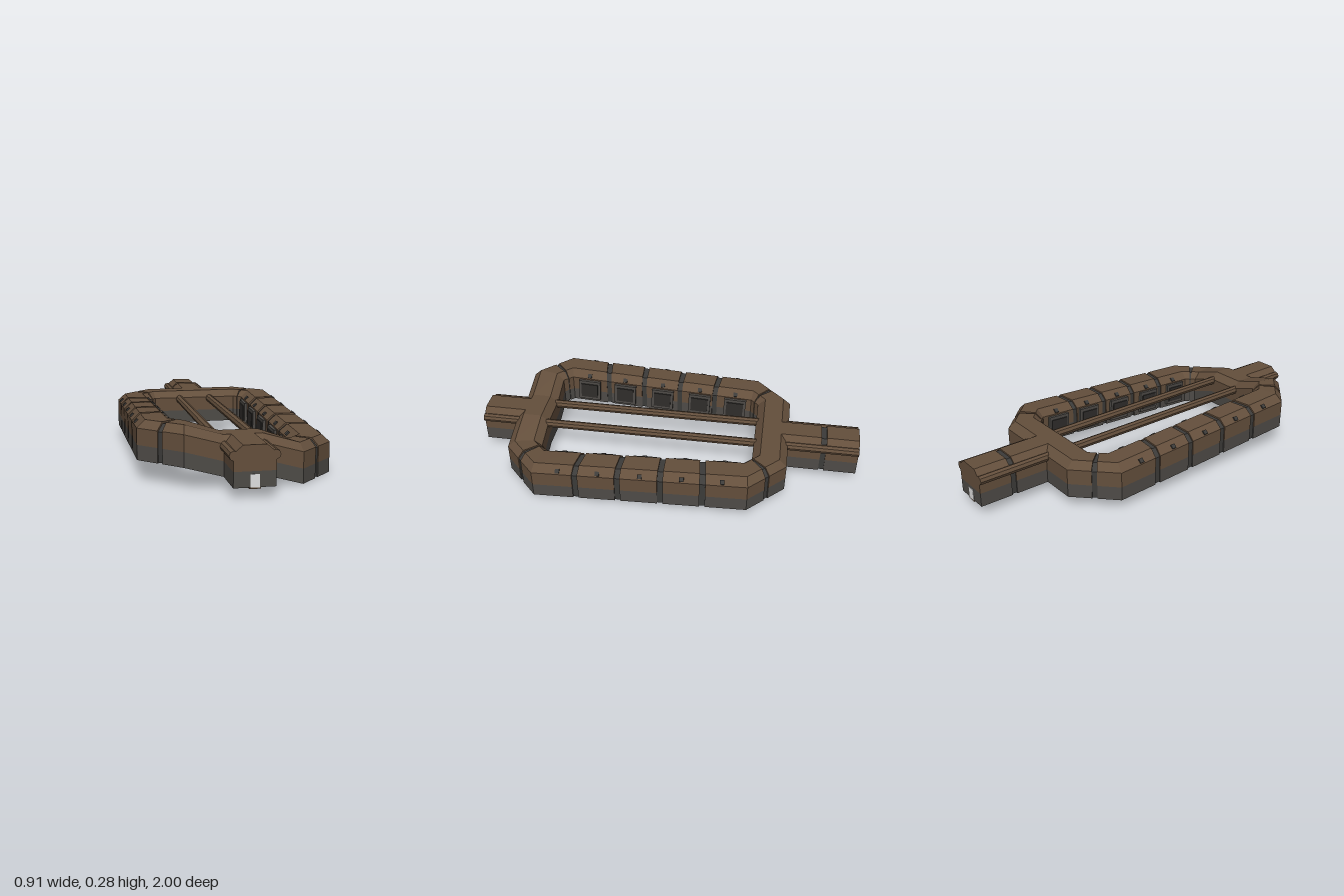
import * as THREE from 'three';
import { ConvexGeometry } from 'three/addons/geometries/ConvexGeometry.js';

const mat = (name, color) => {
  const m = new THREE.MeshStandardMaterial({ color, flatShading: true });
  m.name = name;
  return m;
};

export function createModel() {
  const root = new THREE.Group();
  root.name = 'loopCorridor';
  const brown = mat('brown', 0x644f3c);
  const grey = mat('grey', 0x4e4b47);
  const dark = mat('darkGrey', 0x3c3b39);
  const glass = mat('panelDark', 0x2f2d2b);
  const white = mat('paleGrey', 0xe0e0e0);

  const add = (name, geo, material, x = 0, y = 0, z = 0, rx = 0, rz = 0) => {
    const m = new THREE.Mesh(geo, material);
    m.name = name;
    m.position.set(x, y, z);
    m.rotation.set(rx, 0, rz);
    root.add(m);
    return m;
  };

  // Cross-section parts: [fraction from outer to inner wall, height]
  const LOWER = [[0, 0], [0, 0.07], [1, 0.07], [1, 0]];
  const UPPER = [[0, 0.07], [0, 0.147], [0.22, 0.183], [0.78, 0.183], [1, 0.147], [1, 0.07]];
  const JOINT = [[0.03, 0.003], [0.03, 0.142], [0.235, 0.175], [0.765, 0.175], [0.97, 0.142], [0.97, 0.003]];

  // A station is a slice of corridor: outer x,z, inner x,z and floor height
  const station = (ox, oz, ix, iz, y) => [ox, oz, ix, iz, y];
  const mix = (a, b, t) => a.map((v, i) => v + (b[i] - v) * t);
  const loft = (name, a, b, section, material) => {
    const pts = [a, b].flatMap((s) => section.map(([t, h]) => new THREE.Vector3(
      s[0] + (s[2] - s[0]) * t, s[4] + h, s[1] + (s[3] - s[1]) * t)));
    add(name, new ConvexGeometry(pts), material);
  };
  const hull = (name, a, b) => {
    loft(name + 'Base', a, b, LOWER, grey);
    loft(name + 'Roof', a, b, UPPER, brown);
  };
  // Corridor run broken by recessed joints centred at the given fractions
  const run = (name, a, b, joints, half) => {
    let from = 0;
    for (const j of joints) {
      hull(name, mix(a, b, from), mix(a, b, j - half));
      loft(name + 'Joint', mix(a, b, j - half - 0.002), mix(a, b, j + half + 0.002), JOINT, dark);
      from = j + half;
    }
    hull(name, mix(a, b, from), b);
  };

  const zToT = (z) => (0.615 - z) / 1.0525;
  const frame = new THREE.BoxGeometry(0.02, 0.12, 0.122);
  const pane = new THREE.BoxGeometry(0.008, 0.085, 0.094);
  const clip = new THREE.BoxGeometry(0.022, 0.012, 0.022);

  for (const s of [1, -1]) {
    const y = 0.05 - s * 0.05; // one arm dips, the other climbs
    const p = [
      station(s * 0.09, 0.815, s * 0.09, 0.64, 0.05),
      station(s * 0.27, 0.815, s * 0.235, 0.64, y),
      station(s * 0.455, 0.635, s * 0.275, 0.595, y),
      station(s * 0.455, -0.455, s * 0.275, -0.42, 0.05),
      station(s * 0.27, -0.635, s * 0.235, -0.46, 0.05),
      station(s * 0.09, -0.635, s * 0.09, -0.46, 0.05),
    ];
    run('frontRamp', p[0], p[1], [], 0);
    run('frontCorner', p[1], p[2], [0.5], 0.05);
    run('sideArm', p[2], p[3], [0.4, 0.19, -0.02, -0.225].map(zToT), 0.013);
    run('backCorner', p[3], p[4], [0.5], 0.05);
    run('backArm', p[4], p[5], [], 0);

    // Framed panels and roof clips on each arm section
    for (const z of [0.5, 0.295, 0.08, -0.13, -0.33]) {
      const floor = mix(p[2], p[3], zToT(z))[4];
      const tilt = s * 0.0475;
      add('panelFrame', frame, grey, s * 0.27, floor + 0.08, z, tilt);
      add('panel', pane, glass, s * 0.2585, floor + 0.08, z, tilt);
      add('outerClip', clip, dark, s * 0.443, floor + 0.159, z, tilt, -s * 0.73);
      add('innerClip', clip, dark, s * 0.287, floor + 0.159, z, tilt, s * 0.73);
    }

    // Pipe running the whole length
    add('pipe', new THREE.CylinderGeometry(0.022, 0.022, 1.996, 8), brown, s * 0.09, 0.188, 0, Math.PI / 2);
  }

  // Middle of the front and back arms
  hull('frontMiddle', station(-0.09, 0.815, -0.09, 0.64, 0.05), station(0.09, 0.815, 0.09, 0.64, 0.05));
  hull('backMiddle', station(-0.09, -0.635, -0.09, -0.46, 0.05), station(0.09, -0.635, 0.09, -0.46, 0.05));

  // Entrance corridors
  const across = (z) => station(-0.093, z, 0.093, z, 0.05);
  run('frontEntrance', across(0.73), across(0.998), [], 0);
  run('backEntrance', across(-0.55), across(-0.998), [0.6], 0.03);

  // Doors at both ends
  for (const s of [1, -1]) {
    add('door', new THREE.BoxGeometry(0.04, 0.058, 0.006), white, 0, 0.078, s * 0.997);
    add('doorSill', new THREE.BoxGeometry(0.05, 0.006, 0.03), brown, 0, 0.047, s * 0.985);
  }
  return root;
}
